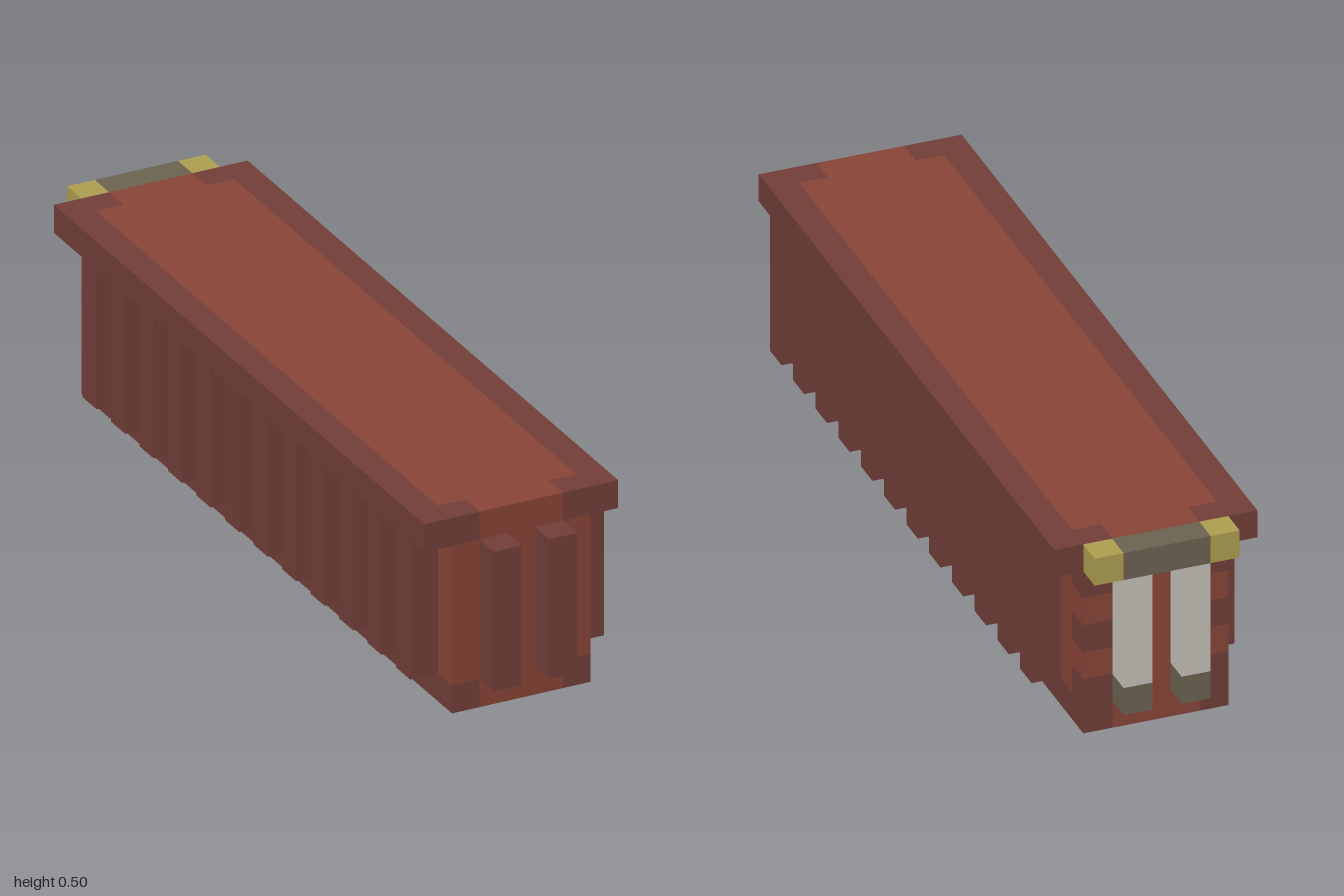
import * as THREE from 'three';

const U = 1 / 14; // one block

function material(name, color) {
  const m = new THREE.MeshStandardMaterial({ color });
  m.name = name;
  return m;
}

export function createModel() {
  const group = new THREE.Group();
  group.name = 'ribbedContainer';

  const red = material('brickRed', 0x8a4538);
  const dark = material('darkRed', 0x733f39);
  const yellow = material('brassYellow', 0xb0a052);
  const pale = material('paleGrey', 0xc6c3ba);
  const olive = material('oliveGrey', 0x6d6452);

  // Box given by its limits in blocks
  function box(name, mat, [x0, x1], [y0, y1], [z0, z1]) {
    const geo = new THREE.BoxGeometry((x1 - x0) * U, (y1 - y0) * U, (z1 - z0) * U);
    const mesh = new THREE.Mesh(geo, mat);
    mesh.position.set((x0 + x1) / 2 * U, (y0 + y1) / 2 * U, (z0 + z1) / 2 * U);
    mesh.name = name;
    group.add(mesh);
  }

  // Same box on both sides of x = 0
  function pair(name, mat, [x0, x1], y, z) {
    box(name + 'Left', mat, [x0, x1], y, z);
    box(name + 'Right', mat, [-x1, -x0], y, z);
  }

  // Body
  box('body', red, [-2.5, 2.5], [1, 6], [-12, 13]);
  box('bodyBack', red, [-1.5, 1.5], [1, 6], [-13, -12]);
  for (let y = 1; y < 6; y++) {
    pair('hingePost', y % 2 ? dark : red, [1.5, 2.5], [y, y + 1], [-13, -12]);
  }

  // Base with dark rails
  box('base', red, [-1.5, 1.5], [0, 1], [-13, 13]);
  pair('baseRail', dark, [1.5, 2.5], [0, 1], [-13, 13]);

  // Roof with dark rim and corners
  box('roof', red, [-1.5, 1.5], [6, 7], [-13, 13]);
  pair('roofSide', red, [1.5, 2.5], [6, 7], [-12, 12]);
  pair('roofRim', dark, [2.5, 3.5], [6, 7], [-13, 13]);
  pair('roofCornerFront', dark, [1.5, 2.5], [6, 7], [12, 13]);
  pair('roofCornerBack', dark, [1.5, 2.5], [6, 7], [-13, -12]);

  // Side ribs
  for (let i = 0; i < 12; i++) {
    pair('sideRib', dark, [2.5, 3.5], [1, 6], [11 - 2 * i, 12 - 2 * i]);
  }

  // Front ribs
  pair('frontRib', dark, [0.5, 1.5], [1, 6], [13, 14]);

  // Door lock rods and header at the back
  pair('lockRod', pale, [0.5, 1.5], [2, 6], [-14, -13]);
  pair('lockRodFoot', olive, [0.5, 1.5], [1, 2], [-14, -13]);
  box('doorHeader', olive, [-1.5, 1.5], [6, 7], [-14, -13]);
  pair('headerEnd', yellow, [1.5, 2.5], [6, 7], [-14, -13]);

  return group;
}
